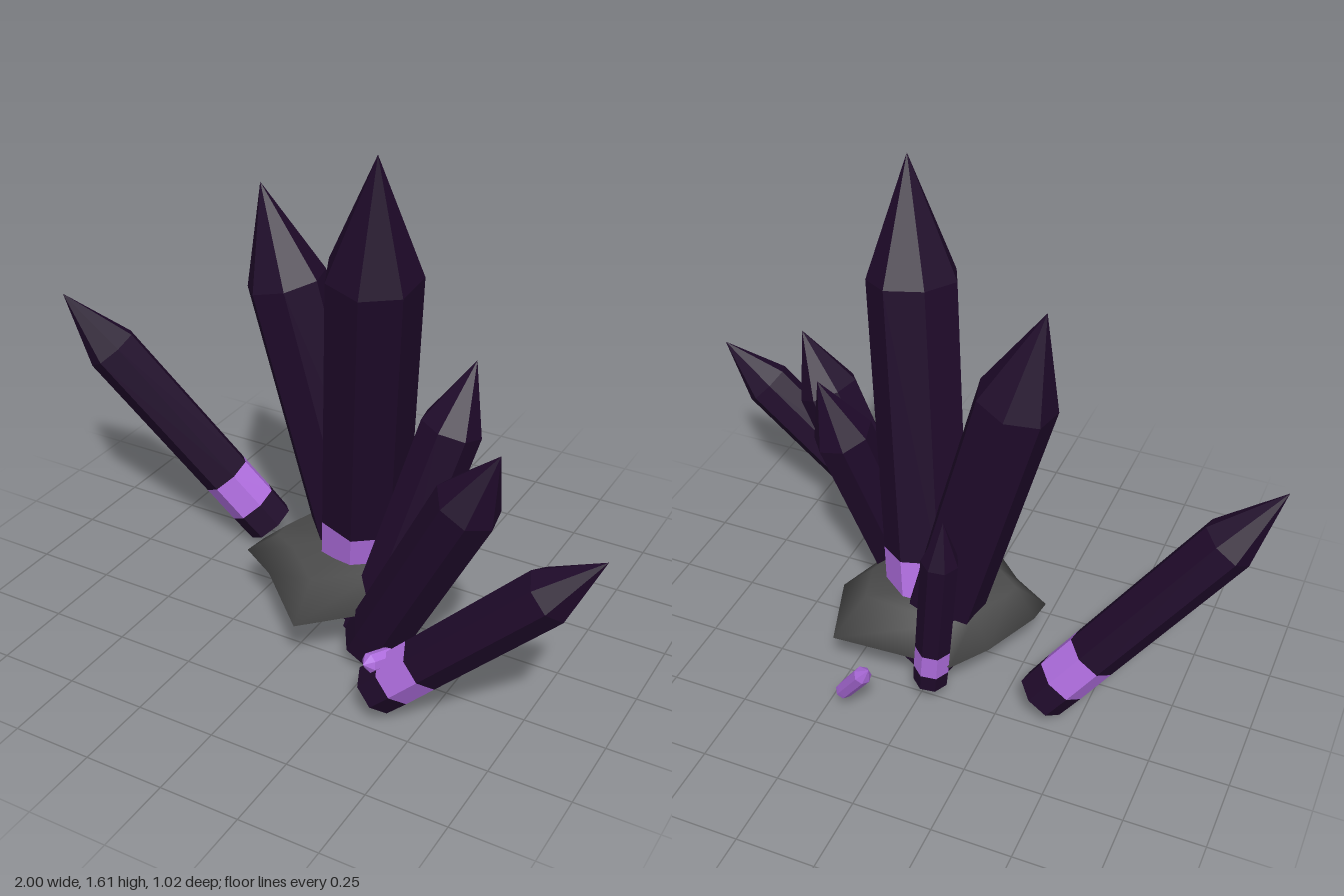
import * as THREE from 'three';

const mat = (name, color, flatShading = true) => {
  const m = new THREE.MeshStandardMaterial({ color, flatShading });
  m.name = name;
  return m;
};

// One seven-sided crystal from base to tip: foot, band, shaft and point.
function crystal(name, base, tip, radius, spin, bandMat, bodyMat) {
  const a = new THREE.Vector3(...base);
  const axis = new THREE.Vector3(...tip).sub(a);
  const length = axis.length();
  const group = new THREE.Group();
  group.name = name;
  const section = (part, profile, material) => {
    const pts = profile.map(([r, t]) => new THREE.Vector2(r * radius, t * length));
    const mesh = new THREE.Mesh(new THREE.LatheGeometry(pts, 7, spin), material);
    mesh.name = part;
    group.add(mesh);
  };
  section('foot', [[0, 0], [0.97, 0], [1, 0.09]], bodyMat);
  section('band', [[1, 0.09], [1, 0.22]], bandMat);
  section('shaftAndPoint', [[1, 0.22], [1.03, 0.77], [0, 1]], bodyMat);
  group.position.copy(a);
  group.quaternion.setFromUnitVectors(new THREE.Vector3(0, 1, 0), axis.normalize());
  return group;
}

// Flat rock: a closed skin over rings that share one uneven outline.
function rockGeometry() {
  // Outline x, z and the height of the upper edge there
  const rim = [
    [0.28, -0.30, 0.3], [0.36, -0.06, 0.26], [0.28, 0.17, 0.26],
    [0.06, 0.39, 0.265], [-0.15, 0.19, 0.255], [-0.28, 0.11, 0.24],
    [-0.27, 0.03, 0.25], [-0.19, -0.16, 0.26], [-0.11, -0.28, 0.27],
  ];
  const n = rim.length;
  const pos = [];
  const ring = (s, height) => rim.forEach(([x, z, crest]) => pos.push(
    0.03 + (x - 0.03) * s, height ?? crest, z * s));
  ring(0.68, 0.118);
  ring(1, 0.172);
  ring(0.7);
  const bottom = pos.length / 3;
  pos.push(0.03, 0.118, 0, 0.03, 0.23, 0);
  const top = bottom + 1;
  const index = [];
  for (let i = 0; i < n; i++) {
    const j = (i + 1) % n;
    index.push(bottom, i, j);
    for (let k = 0; k < 2; k++) {
      const p = k * n, q = p + n;
      index.push(p + i, q + i, p + j, p + j, q + i, q + j);
    }
    index.push(top, 2 * n + j, 2 * n + i);
  }
  const g = new THREE.BufferGeometry();
  g.setAttribute('position', new THREE.Float32BufferAttribute(pos, 3));
  g.setIndex(index);
  g.computeVertexNormals();
  return g;
}

export function createModel() {
  const dark = mat('dark purple', 0x1f0a2a);
  const light = mat('light purple', 0xb06ee0);
  const stone = mat('grey stone', 0x4b4b4b, false);
  stone.side = THREE.DoubleSide;

  const model = new THREE.Group();
  model.name = 'crystalCluster';

  // Name, base, tip, radius, turn about the axis, band colour, body colour
  const crystals = [
    ['tallCrystal', [0.05, 0.025, -0.045], [0.235, 1.615, 0.22], 0.138, 0.2, light, dark],
    ['secondCrystal', [0.04, 0.05, -0.09], [-0.3, 1.36, -0.05], 0.122, 0.5, dark, dark],
    ['outerRightCrystal', [-0.38, 0.08, -0.19], [-1, 0.885, 0.05], 0.085, 0.1, light, dark],
    ['outerLeftCrystal', [0.362, 0.09, 0.432], [1, 0.7, 0.375], 0.08, 0.3, light, dark],
    ['frontLeftCrystal', [0.23, 0.06, 0.215], [0.655, 0.875, 0.295], 0.097, 0.4, dark, dark],
    ['backLeftCrystal', [0.19, 0.05, 0.15], [0.42, 0.95, -0.05], 0.093, 0, dark, dark],
    ['backCrystal', [-0.04, 0.088, -0.268], [-0.1, 0.76, -0.305], 0.056, 0.2, light, dark],
    ['looseShard', [0.18, 0.105, -0.435], [0.055, 0.3, -0.505], 0.027, 0, light, light],
    ['tinyShard', [0.39, 0.2, 0.41], [0.355, 0.215, 0.5], 0.028, 0, light, light],
  ];
  for (const entry of crystals) model.add(crystal(...entry));

  const rock = new THREE.Mesh(rockGeometry(), stone);
  rock.name = 'rock';
  model.add(rock);
  return model;
}
